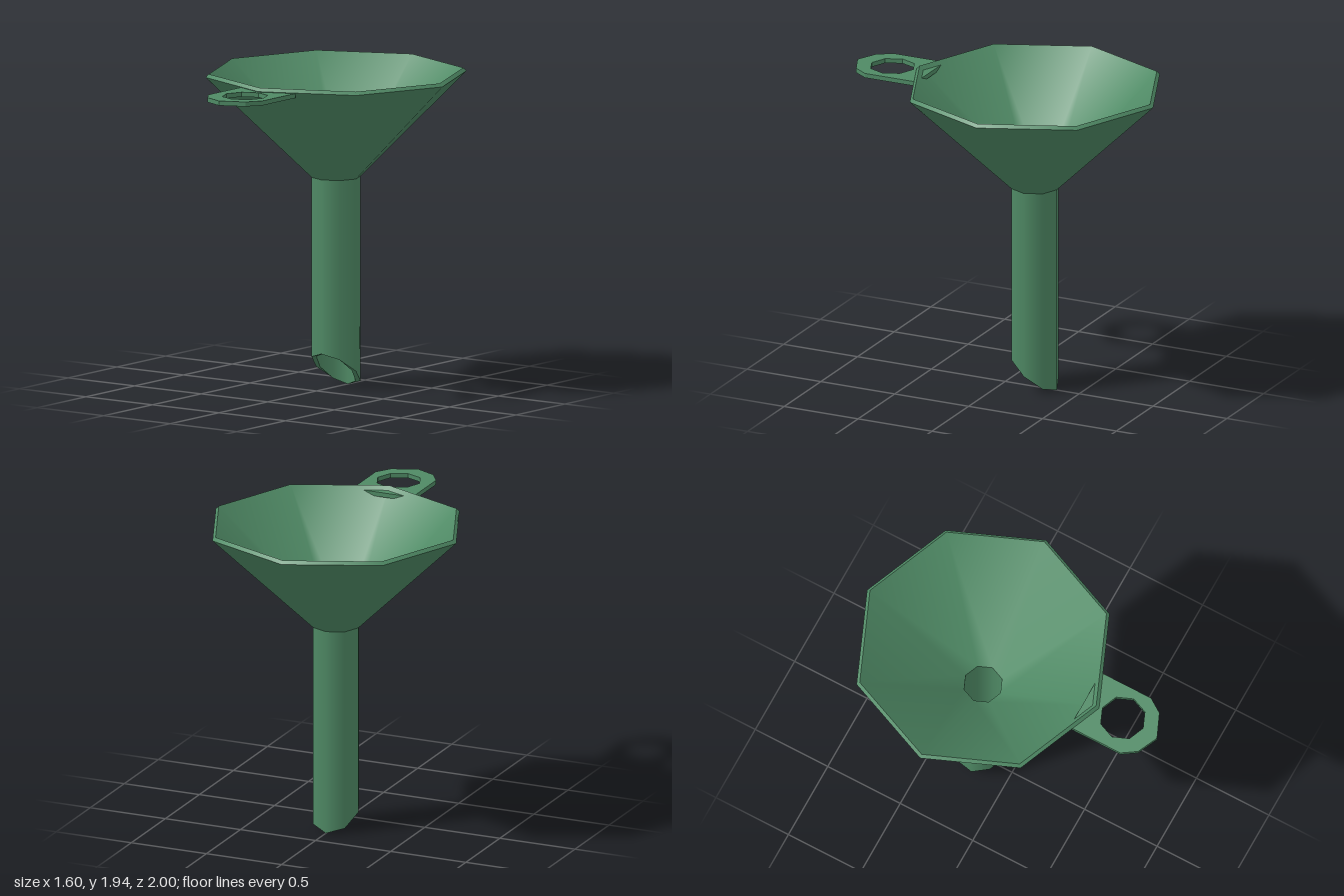
import * as THREE from 'three';

const SIDES = 8;
const AXIS_Z = -0.2;

export function createModel() {
  const group = new THREE.Group();
  group.name = 'funnel';
  const green = new THREE.MeshStandardMaterial({ color: 0x4f8a65 });
  green.name = 'green';

  // One octagonal band; rising profiles face outward, falling ones inward
  function band(name, ...profile) {
    const points = profile.map(([r, y]) => new THREE.Vector2(r, y));
    const mesh = new THREE.Mesh(new THREE.LatheGeometry(points, SIDES), green);
    mesh.name = name;
    mesh.position.z = AXIS_Z;
    group.add(mesh);
    return mesh;
  }

  // Slant the spout's lower end: high at the front, low at the back
  function slant(mesh) {
    const p = mesh.geometry.attributes.position;
    for (let i = 0; i < p.count; i++) {
      if (p.getY(i) > 0.5) continue;
      const r = Math.hypot(p.getX(i), p.getZ(i));
      p.setY(i, 0.11 * (1 + p.getZ(i) / r));
    }
    return mesh;
  }

  // Cone and rim
  band('coneOutside', [0.15, 1.29], [0.8, 1.92]);
  band('rim', [0.8, 1.92], [0.78, 1.94]);
  band('coneInside', [0.78, 1.94], [0.12, 1.3]);

  // Spout with a slanted tip
  slant(band('spoutOutside', [0.15, 0], [0.15, 1.29]));
  slant(band('spoutInside', [0.12, 1.3], [0.12, 0]));
  slant(band('spoutTip', [0.12, 0], [0.15, 0])).geometry.computeVertexNormals();

  // Hanging tab, drawn as (x, -z) and laid flat
  const outline = [
    [-0.19, 0.5], [-0.19, 0.85], [-0.13, 0.94], [0, 1],
    [0.15, 0.935], [0.21, 0.845], [0.21, 0.5],
  ];
  const shape = new THREE.Shape(outline.map(([x, z]) => new THREE.Vector2(x, -z)));
  const hole = [];
  for (let i = 0; i < SIDES; i++) {
    const a = (i / SIDES) * Math.PI * 2;
    hole.push(new THREE.Vector2(0.016 + 0.139 * Math.cos(a), -0.755 + 0.14 * Math.sin(a)));
  }
  shape.holes.push(new THREE.Path(hole));
  const tabGeometry = new THREE.ExtrudeGeometry(shape, { depth: 0.028, bevelEnabled: false });
  tabGeometry.rotateX(-Math.PI / 2);
  const tab = new THREE.Mesh(tabGeometry, green);
  tab.name = 'hangingTab';
  tab.position.y = 1.888;
  group.add(tab);

  return group;
}
